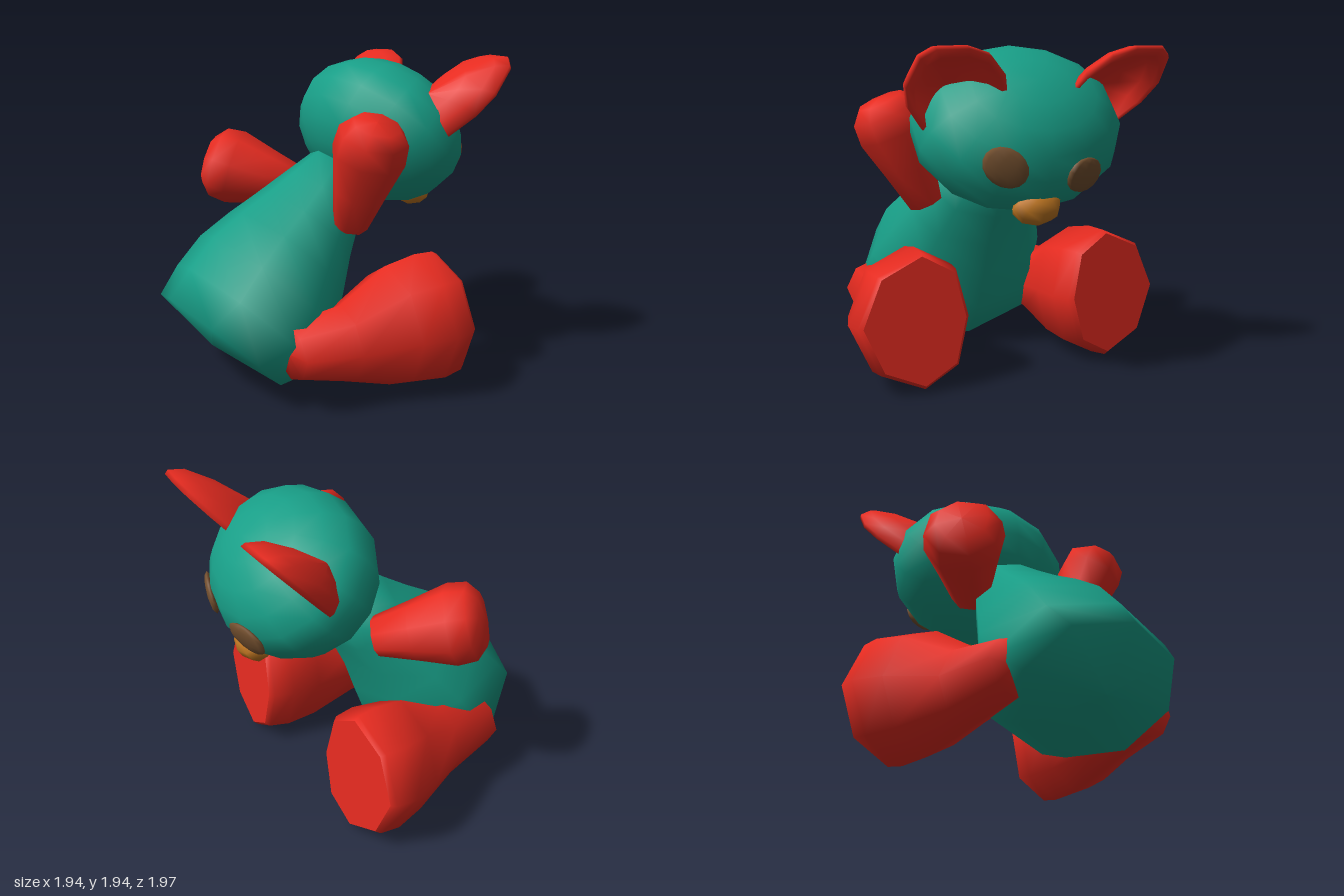
import * as THREE from 'three';

const material = (name, color) => {
  const m = new THREE.MeshStandardMaterial({ color });
  m.name = name;
  return m;
};

const V = (x, y, z) => new THREE.Vector3(x, y, z);

// Smooth surface over a grid of points; wrap closes each row into a ring.
function skin(rows, wrap) {
  const n = rows[0].length, cols = wrap ? n : n - 1, index = [];
  for (let i = 0; i < rows.length - 1; i++) {
    for (let j = 0; j < cols; j++) {
      const k = (j + 1) % n;
      const a = i * n + j, b = i * n + k, c = a + n, d = b + n;
      index.push(a, b, c, b, d, c);
    }
  }
  const g = new THREE.BufferGeometry().setFromPoints(rows.flat());
  g.setIndex(index);
  g.computeVertexNormals();
  return g;
}

// Rings [along, centreU, centreV, radiusU, radiusV] on the axis s, with u x v = s.
// A repeated ring makes a sharp edge; bend moves the two u ends of a ring along v.
function loft(rings, s, u, v, origin = V(0, 0, 0), bend = 0) {
  const sides = 8;
  const rows = rings.map(([along, cu, cv, ru, rv]) =>
    Array.from({ length: sides }, (_, j) => {
      const a = (j / sides) * Math.PI * 2, c = Math.cos(a);
      return origin.clone().addScaledVector(s, along)
        .addScaledVector(u, cu + ru * c)
        .addScaledVector(v, cv + rv * (Math.sin(a) + bend * c * c));
    }));
  return skin(rows, true);
}

export function createModel() {
  const teal = material('teal', 0x189e87);
  const red = material('red', 0xe62b20);
  const brown = material('brown', 0x74502f);
  const orange = material('orange', 0xc27822);
  red.side = THREE.DoubleSide;

  const model = new THREE.Group();
  model.name = 'toyBear';
  const add = (name, geometry, mat, parent = model) => {
    const mesh = new THREE.Mesh(geometry, mat);
    mesh.name = name;
    parent.add(mesh);
    return mesh;
  };

  // Body leaning forward at 45 degrees, narrowing to the neck
  add('body', loft([
    [-0.31, 0.7, 0.06, 0, 0],
    [-0.255, 0.69, 0.055, 0.425, 0.52],
    [-0.05, 0.65, 0.065, 0.49, 0.615],
    [0.18, 0.675, 0.06, 0.47, 0.585],
    [0.4, 0.7, 0.055, 0.395, 0.5],
    [0.6, 0.718, 0.05, 0.315, 0.42],
    [0.8, 0.728, 0.045, 0.255, 0.335],
    [1.0, 0.74, 0.04, 0.2, 0.23],
    [1.05, 0.74, 0.04, 0, 0],
  ], V(0.7, 0.714, 0), V(-0.714, 0.7, 0), V(0, 0, 1)), teal);

  // Head group tipped forward 45 degrees: local +x points at the nose, +y at the crown
  const headGroup = new THREE.Group();
  headGroup.name = 'headGroup';
  headGroup.position.set(0.475, 1.468, 0.03);
  headGroup.rotation.z = -Math.PI / 4;
  model.add(headGroup);
  const headRadii = V(0.495, 0.41, 0.62);
  add('head', new THREE.SphereGeometry(1, 14, 10), teal, headGroup).scale.copy(headRadii);

  // Eyes: flat ovals lying on the head
  for (const [name, direction] of [
    ['leftEye', V(0.794, 0.437, 0.403)],
    ['rightEye', V(0.88, 0.297, -0.355)],
  ]) {
    const spot = direction.normalize();
    const normal = spot.clone().divide(headRadii).normalize();
    const eye = add(name, new THREE.SphereGeometry(1, 10, 8), brown, headGroup);
    eye.scale.set(0.132, 0.105, 0.03);
    eye.position.copy(spot).multiply(headRadii).addScaledVector(normal, -0.005);
    eye.quaternion.setFromUnitVectors(V(0, 0, 1), normal);
  }

  // Nose
  const nose = add('nose', new THREE.SphereGeometry(1, 8, 6), orange, headGroup);
  nose.position.set(0.476, -0.094, 0.005);
  nose.scale.set(0.1, 0.107, 0.145);

  // Legs, flaring to a slanted sole with a softened rim; measured back from the sole
  for (const [name, side, x, z, turn] of [
    ['leftLeg', 1, 0.555, 0.66, 0],
    ['rightLeg', -1, 0.465, -0.655, 0.15],
  ]) {
    const rings = [
      [-1.045, 0.36, -0.05, 0, 0],
      [-1.02, 0.36, -0.05, 0.17, 0.17],
      [-0.68, 0.34, -0.04, 0.235, 0.2],
      [-0.36, 0.39, -0.015, 0.375, 0.305],
      [-0.16, 0.405, 0, 0.403, 0.345],
      [-0.03, 0.415, 0, 0.392, 0.325],
      [0, 0.42, 0, 0.37, 0.3],
      [0, 0.42, 0, 0.37, 0.3],
      [0, 0.42, 0, 0, 0],
    ].map(([s, cu, cv, ru, rv]) => [s, cu, cv * side, ru, rv]);
    const geometry = loft(rings, V(1, 0, 0), V(-0.06, 1, 0), V(0, 0, 1), V(0, 0, 0), -0.16 * side);
    const leg = add(name, geometry, red);
    leg.position.set(x, 0, z);
    leg.rotation.y = turn;
  }

  // Arms, thin at the shoulder with a broad, blunt paw
  const arm = (name, from, to, width) => {
    const s = to.clone().sub(from), length = s.length();
    s.normalize();
    const u = V(0, 0, 1).cross(s).normalize();
    const v = s.clone().cross(u);
    const profile = [[0, 0], [0, 0.5], [0.35, 0.74], [0.7, 1], [0.88, 0.95], [0.98, 0.65], [1, 0]];
    const rings = profile.map(([t, r]) => [t * length, 0, 0, r * width, r * width]);
    add(name, loft(rings, s, u, v, from), red);
  };
  arm('leftArm', V(0.02, 0.99, 0.41), V(0.01, 1.62, 0.69), 0.213);
  arm('rightArm', V(0.1, 1.08, -0.28), V(-0.385, 1.255, -0.68), 0.24);

  // Ears: cupped shells with a thick rim, open toward the front and below
  const arch = [[-1, 0], [-1, 0.32], [-0.75, 0.7], [-0.31, 0.96], [0.36, 1.16],
    [0.73, 1.13], [1.15, 0.8], [1.2, 0.45], [1, 0]];
  const shell = [[0, 0.23], [0.5, 0.17], [0.85, 0.1], [1, 0.03], [1, 0],
    [0.88, 0], [0.74, 0.07], [0.42, 0.13], [0, 0.18]];
  for (const side of [1, -1]) {
    const rows = shell.map(([r, depth]) => arch.map(([a, b]) => {
      const p = V(0.665, 1.59, 0.42)
        .addScaledVector(V(-0.1, -0.1, 0.2), a * r)
        .addScaledVector(V(0.28, 0.32, 0.16), b * r)
        .addScaledVector(V(-0.72, 0.62, 0.3), depth);
      return side > 0 ? p : V(p.x - 0.02, p.y - 0.015, 0.06 - p.z);
    }));
    if (side > 0) rows.forEach(row => row.reverse());
    add(side > 0 ? 'leftEar' : 'rightEar', skin(rows, false), red);
  }

  return model;
}
